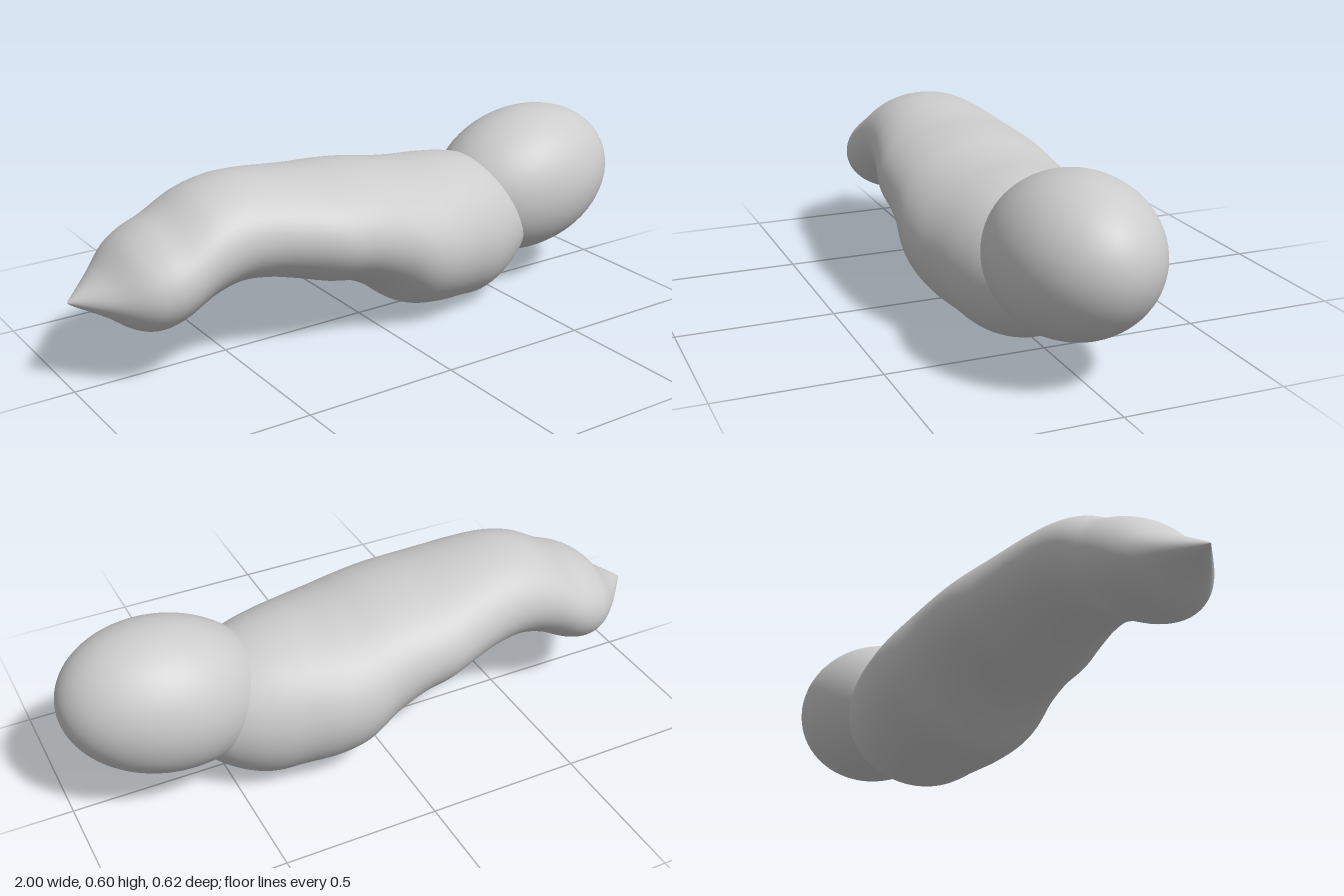
import * as THREE from 'three';

// Body cross-sections along x: [x, top y, bottom y, half width]
const SECTIONS = [
  [-1, 0.288, 0.286, 0.001], [-0.98, 0.303, 0.272, 0.024], [-0.9, 0.355, 0.228, 0.115],
  [-0.83, 0.427, 0.178, 0.182], [-0.77, 0.464, 0.16, 0.212], [-0.7, 0.492, 0.176, 0.221],
  [-0.6, 0.548, 0.226, 0.216], [-0.5, 0.573, 0.252, 0.217], [-0.4, 0.573, 0.245, 0.23],
  [-0.3, 0.562, 0.22, 0.252], [-0.2, 0.55, 0.19, 0.277], [-0.1, 0.545, 0.167, 0.285],
  [0, 0.535, 0.115, 0.293], [0.1, 0.517, 0.042, 0.308], [0.2, 0.505, 0.018, 0.304],
  [0.3, 0.5, 0.009, 0.281], [0.4, 0.485, 0.004, 0.255], [0.5, 0.45, 0.045, 0.212],
  [0.58, 0.39, 0.118, 0.15], [0.62, 0.29, 0.24, 0.03],
];

// Loft smooth elliptical rings through the sections
function loftBody(rings, sides) {
  const shape = new THREE.CatmullRomCurve3(SECTIONS.map(s => new THREE.Vector3(s[1], s[2], s[3])), false, 'catmullrom');
  const spine = new THREE.CatmullRomCurve3(SECTIONS.map(s => new THREE.Vector3(s[0], 0, 0)), false, 'catmullrom');
  const positions = [], index = [];
  for (let i = 0; i <= rings; i++) {
    const { x: top, y: bottom, z: width } = shape.getPoint(i / rings);
    const x = spine.getPoint(i / rings).x;
    for (let j = 0; j < sides; j++) {
      const a = (j / sides) * Math.PI * 2;
      positions.push(x, (top + bottom) / 2 + Math.sin(a) * (top - bottom) / 2, Math.cos(a) * width);
      if (i === rings) continue;
      const p = i * sides + j, q = i * sides + (j + 1) % sides;
      index.push(p, p + sides, q, q, p + sides, q + sides);
    }
  }
  const geometry = new THREE.BufferGeometry();
  geometry.setAttribute('position', new THREE.Float32BufferAttribute(positions, 3));
  geometry.setIndex(index);
  geometry.computeVertexNormals();
  return geometry;
}

export function createModel() {
  const group = new THREE.Group();
  const grey = new THREE.MeshStandardMaterial({ color: 0xcccccc });
  grey.name = 'light grey';

  // Undulating body, tapering to a pointed tail
  const body = new THREE.Mesh(loftBody(114, 64), grey);
  body.name = 'body';

  // Egg-shaped head, tilted slightly upward
  const head = new THREE.Mesh(new THREE.SphereGeometry(1, 64, 40), grey);
  head.name = 'head';
  head.scale.set(0.33, 0.242, 0.242);
  head.rotation.z = 0.2;
  head.position.set(0.674, 0.353, 0);

  group.add(body, head);
  return group;
}
